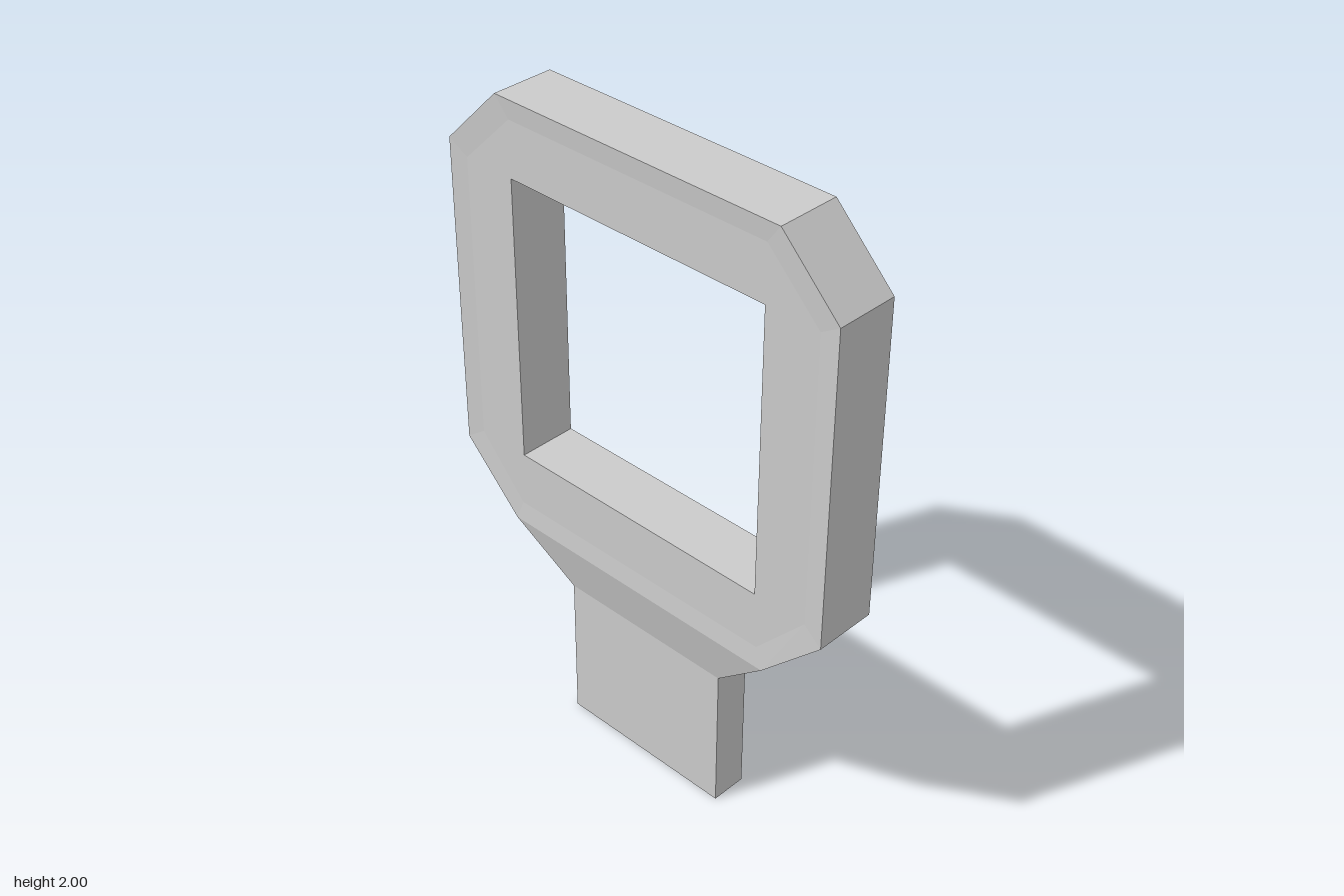
import * as THREE from 'three';

// Joins matching closed rings of [x, y, z] points with quads, skipping collapsed triangles.
function loft(name, rings, material) {
  const pos = [];
  const same = (a, b) => a.every((v, k) => Math.abs(v - b[k]) < 1e-6);
  const tri = (a, b, c) => {
    if (!same(a, b) && !same(b, c) && !same(c, a)) pos.push(...a, ...b, ...c);
  };
  for (let r = 0; r < rings.length - 1; r++) {
    const A = rings[r], B = rings[r + 1], n = A.length;
    for (let i = 0; i < n; i++) {
      const j = (i + 1) % n;
      tri(A[i], A[j], B[j]);
      tri(A[i], B[j], B[i]);
    }
  }
  const geo = new THREE.BufferGeometry();
  geo.setAttribute('position', new THREE.Float32BufferAttribute(pos, 3));
  geo.computeVertexNormals();
  const mesh = new THREE.Mesh(geo, material);
  mesh.name = name;
  return mesh;
}

// Eight-point ring at depth x, from four [z, y] points mirrored across z.
function headRing(x, half) {
  const other = half.slice().reverse().map(([z, y]) => [-z, y]);
  return [...half, ...other].map(([z, y]) => [x, y, z]);
}

// Horizontal rectangle at height y.
function neckRing(y, x, z) {
  return [[x, y, z], [x, y, -z], [-x, y, -z], [-x, y, z]];
}

export function createModel() {
  const group = new THREE.Group();
  const grey = new THREE.MeshStandardMaterial({ color: 0xcccccc, flatShading: true });

  // Octagonal frame with a slightly dished face on each side and a square window
  const outer = [[0.487, 2], [0.677, 1.81], [0.677, 0.84], [0.48, 0.645]];
  const inner = [[0.443, 1.94], [0.615, 1.77], [0.615, 0.885], [0.455, 0.71]];
  const hole = [[0.443, 1.77], [0.443, 1.77], [0.443, 0.885], [0.443, 0.885]];
  const rim = 0.097, face = 0.092;
  group.add(loft('frame', [
    headRing(-face, hole), headRing(-face, inner), headRing(-rim, outer),
    headRing(rim, outer), headRing(face, inner), headRing(face, hole),
    headRing(-face, hole),
  ], grey));

  // Flat stem with closed bottom, flaring up into the frame
  group.add(loft('stem', [
    neckRing(0, 0, 0), neckRing(0, 0.056, 0.29), neckRing(0.47, 0.056, 0.29),
  ], grey));
  group.add(loft('neck', [
    neckRing(0.47, 0.056, 0.29), neckRing(0.645, rim, 0.48),
  ], grey));

  return group;
}
